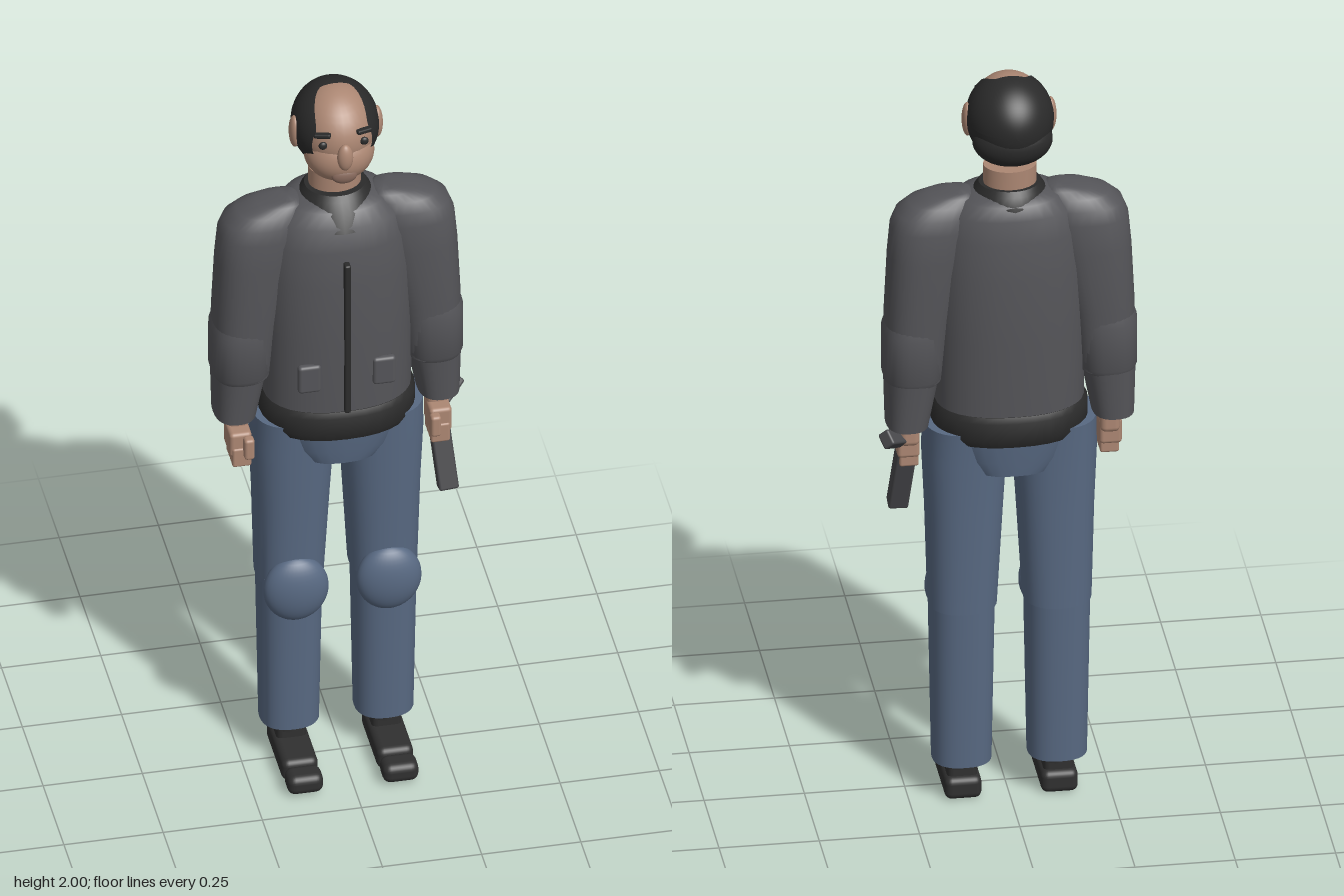
import * as THREE from 'three';
import { toCreasedNormals } from 'three/addons/utils/BufferGeometryUtils.js';
import { RoundedBoxGeometry } from 'three/addons/geometries/RoundedBoxGeometry.js';

const mat = (name, color) => {
  const m = new THREE.MeshStandardMaterial({ color });
  m.name = name;
  return m;
};

// Closed body lofted through horizontal sections [y, xMin, xMax, zMin, zMax], bottom to top
function loft(sections, power = 2.3, n = 32) {
  const pos = [], idx = [];
  const se = v => Math.sign(v) * Math.pow(Math.abs(v), 2 / power);
  for (const [y, x0, x1, z0, z1] of sections) {
    for (let i = 0; i < n; i++) {
      const a = (i / n) * Math.PI * 2;
      pos.push((x0 + x1) / 2 + se(Math.cos(a)) * (x1 - x0) / 2, y,
        (z0 + z1) / 2 + se(Math.sin(a)) * (z1 - z0) / 2);
    }
  }
  for (let k = 0; k < sections.length - 1; k++) {
    for (let i = 0; i < n; i++) {
      const a = k * n + i, b = k * n + (i + 1) % n;
      idx.push(a, a + n, b, b, a + n, b + n);
    }
  }
  const last = sections.length - 1;
  for (const k of [0, last]) {
    const [y, x0, x1, z0, z1] = sections[k], c = pos.length / 3;
    pos.push((x0 + x1) / 2, y, (z0 + z1) / 2);
    for (let i = 0; i < n; i++) {
      const a = k * n + i, b = k * n + (i + 1) % n;
      idx.push(c, ...(k === 0 ? [a, b] : [b, a]));
    }
  }
  const g = new THREE.BufferGeometry();
  g.setAttribute('position', new THREE.Float32BufferAttribute(pos, 3));
  g.setIndex(idx);
  return toCreasedNormals(g, 0.8);
}

// Hair shell grown from the back of the head up to a receding hairline
function hairShell(rx, ry, rz) {
  const pos = [], idx = [], n = 72, rows = 18, rad = Math.PI / 180;
  const step = THREE.MathUtils.smoothstep;
  for (let k = 0; k <= rows; k++) {
    for (let i = 0; i <= n; i++) {
      const phi = (i / n) * Math.PI * 2, s = Math.sin(phi), c = Math.abs(Math.cos(phi));
      const limit = s > 0 ? 88 + 48 * step(c, 0.3, 0.9) : 136 - 60 * step(-s, 0.48, 0.68);
      const t = limit * rad * k / rows;
      pos.push(rx * Math.sin(t) * Math.cos(phi), ry * Math.sin(t) * s, -rz * Math.cos(t));
      if (k < rows && i < n) {
        const a = k * (n + 1) + i, b = a + n + 1;
        idx.push(a, a + 1, b, a + 1, b + 1, b);
      }
    }
  }
  const g = new THREE.BufferGeometry();
  g.setAttribute('position', new THREE.Float32BufferAttribute(pos, 3));
  g.setIndex(idx);
  g.computeVertexNormals();
  return g;
}

export function createModel() {
  const root = new THREE.Group();
  root.name = 'man';
  const skin = mat('skin', 0xac8773);
  const lips = mat('lips', 0x87695c);
  const hair = mat('hair', 0x2a2a2a);
  hair.side = THREE.DoubleSide;
  const jacket = mat('jacket', 0x555559);
  const trim = mat('jacket trim', 0x2b2b2b);
  const denim = mat('denim', 0x586982);
  const shoe = mat('shoe black', 0x303030);
  const steel = mat('gunmetal', 0x48484b);

  const body = new THREE.Group();
  body.name = 'body';
  body.position.x = -0.004;
  root.add(body);

  const add = (name, geo, material, p = [0, 0, 0], parent = body) => {
    const m = new THREE.Mesh(geo, material);
    m.name = name;
    m.position.set(...p);
    parent.add(m);
    return m;
  };
  const ball = (name, material, p, r, parent) =>
    add(name, new THREE.SphereGeometry(1, 32, 20).scale(...r), material, p, parent);
  const rbox = (name, material, p, [w, h, d], r, parent) =>
    add(name, new RoundedBoxGeometry(w, h, d, 3, r), material, p, parent);

  // Head
  const head = new THREE.Group();
  head.name = 'head';
  body.add(head);
  ball('skull', skin, [0, 1.885, -0.05], [0.1, 0.113, 0.118], head);
  ball('jaw', skin, [0, 1.836, -0.004], [0.088, 0.076, 0.08], head);
  ball('nose', skin, [0, 1.865, 0.072], [0.02, 0.038, 0.017], head);
  ball('mouth', lips, [0, 1.803, 0.062], [0.032, 0.022, 0.014], head);
  add('hair', hairShell(0.109, 0.115, 0.122), hair, [0, 1.885, -0.053], head);
  ball('napeHair', hair, [0, 1.846, -0.1], [0.1, 0.067, 0.072], head);
  for (const s of [-1, 1]) {
    ball('ear', skin, [s * 0.104, 1.88, -0.042], [0.014, 0.045, 0.025], head);
    ball('eye', hair, [s * 0.052, 1.895, 0.053], [0.011, 0.011, 0.007], head);
    const brow = rbox('eyebrow', hair, [s * 0.052, 1.922, 0.047], [0.042, 0.012, 0.016], 0.004, head);
    brow.rotation.set(0, s * 0.4, s * -0.12);
  }
  add('neck', loft([[1.64, -0.066, 0.066, -0.11, 0], [1.757, -0.066, 0.066, -0.11, 0]], 2), skin);

  // Jacket body
  add('jacketBody', loft([
    [1.09, -0.185, 0.185, -0.172, 0.096], [1.3, -0.188, 0.188, -0.176, 0.1],
    [1.48, -0.188, 0.188, -0.172, 0.093], [1.58, -0.18, 0.18, -0.163, 0.083],
    [1.64, -0.165, 0.165, -0.153, 0.068], [1.675, -0.125, 0.125, -0.142, 0.045],
    [1.69, -0.085, 0.085, -0.125, 0.022],
  ]), jacket);
  add('collar', loft([
    [1.63, -0.1, 0.1, -0.15, 0.074], [1.67, -0.1, 0.1, -0.145, 0.052],
    [1.695, -0.085, 0.085, -0.13, 0.03], [1.708, -0.077, 0.077, -0.12, 0.018],
  ], 2), trim);
  add('waistband', loft([
    [1.02, -0.185, 0.185, -0.172, 0.098], [1.04, -0.195, 0.195, -0.181, 0.106],
    [1.09, -0.195, 0.195, -0.181, 0.106], [1.105, -0.185, 0.185, -0.174, 0.098],
  ]), trim);
  rbox('zip', trim, [0, 1.33, 0.095], [0.016, 0.45, 0.024], 0.005);

  // Hips
  add('hips', loft([
    [0.93, -0.11, 0.11, -0.155, 0.073], [0.97, -0.15, 0.15, -0.16, 0.08],
    [1.04, -0.185, 0.185, -0.166, 0.086],
  ], 2.6), denim);

  // Paired limbs, mirrored by section
  for (const s of [-1, 1]) {
    const side = s > 0 ? 'left' : 'right';
    const mir = rows => rows.map(([y, a, b, c, d]) => s > 0 ? [y, a, b, c, d] : [y, -b, -a, c, d]);

    rbox(side + 'Pocket', jacket, [s * 0.094, 1.215, 0.089], [0.058, 0.08, 0.022], 0.009);

    add(side + 'UpperSleeve', loft(mir([
      [1.18, 0.17, 0.31, -0.126, 0.04], [1.35, 0.145, 0.311, -0.131, 0.045],
      [1.52, 0.105, 0.303, -0.132, 0.045], [1.6, 0.085, 0.296, -0.128, 0.042],
      [1.635, 0.08, 0.282, -0.12, 0.034], [1.662, 0.08, 0.25, -0.105, 0.02],
      [1.68, 0.085, 0.2, -0.09, 0.005], [1.688, 0.1, 0.145, -0.075, -0.012],
    ]), 2.5), jacket);
    add(side + 'Elbow', loft(mir([
      [1.175, 0.175, 0.312, -0.126, 0.038], [1.19, 0.17, 0.317, -0.133, 0.046],
      [1.31, 0.16, 0.317, -0.133, 0.047], [1.335, 0.16, 0.309, -0.128, 0.042],
    ]), 2.5), jacket);
    add(side + 'ForearmSleeve', loft(mir([
      [1.05, 0.204, 0.309, -0.12, 0.026], [1.2, 0.175, 0.313, -0.13, 0.038],
    ]), 2.5), jacket);

    // Hand with curled fingers
    const hand = new THREE.Group();
    hand.name = side + 'Hand';
    body.add(hand);
    rbox('wrist', skin, [s * 0.25, 1.035, -0.04], [0.05, 0.1, 0.06], 0.015, hand);
    rbox('palm', skin, [s * 0.252, 0.985, -0.018], [0.056, 0.07, 0.085], 0.01, hand);
    for (let i = 0; i < 4; i++)
      rbox('finger', skin, [s * 0.25, 0.95, -0.042 + i * 0.02], [0.048, 0.055, 0.021], 0.006, hand);
    rbox('thumb', skin, [s * 0.235, 0.985, 0.036], [0.026, 0.06, 0.028], 0.008, hand);

    // Trouser leg
    add(side + 'Thigh', loft(mir([
      [0.54, 0.033, 0.203, -0.136, 0.042], [0.8, 0.018, 0.21, -0.14, 0.053],
      [0.96, 0.008, 0.217, -0.145, 0.062], [1.05, 0.008, 0.215, -0.15, 0.066],
    ]), 2.4), denim);
    add(side + 'Shin', loft(mir([
      [0.1, 0.045, 0.193, -0.113, 0.031], [0.555, 0.037, 0.201, -0.126, 0.045],
    ]), 2.4), denim);
    ball(side + 'Knee', denim, [s * 0.117, 0.54, 0.038], [0.082, 0.093, 0.044]);
    add(side + 'TrouserLining', loft(mir([
      [0.08, 0.078, 0.162, -0.085, 0.014], [0.12, 0.078, 0.162, -0.085, 0.014],
    ])), shoe);

    // Shoe
    rbox(side + 'Ankle', shoe, [s * 0.12, 0.075, -0.035], [0.075, 0.09, 0.085], 0.015);
    rbox(side + 'Shoe', shoe, [s * 0.12, 0.03, 0.008], [0.092, 0.06, 0.205], 0.018);
    rbox(side + 'Toe', shoe, [s * 0.12, 0.032, 0.149], [0.09, 0.053, 0.066], 0.02);
  }

  // Pistol hanging from the left hand, muzzle down
  const pistol = new THREE.Group();
  pistol.name = 'pistol';
  body.add(pistol);
  const bar = (name, a, b, w, d) => {
    const from = new THREE.Vector3(...a), to = new THREE.Vector3(...b);
    const m = rbox(name, steel, from.clone().add(to).multiplyScalar(0.5).toArray(),
      [w, from.distanceTo(to), d], 0.006, pistol);
    m.quaternion.setFromUnitVectors(new THREE.Vector3(0, 1, 0), to.sub(from).normalize());
  };
  bar('slide', [0.269, 0.78, 0.026], [0.252, 0.99, -0.038], 0.05, 0.042);
  bar('grip', [0.255, 0.995, -0.03], [0.315, 1.025, -0.092], 0.034, 0.042);

  return root;
}
